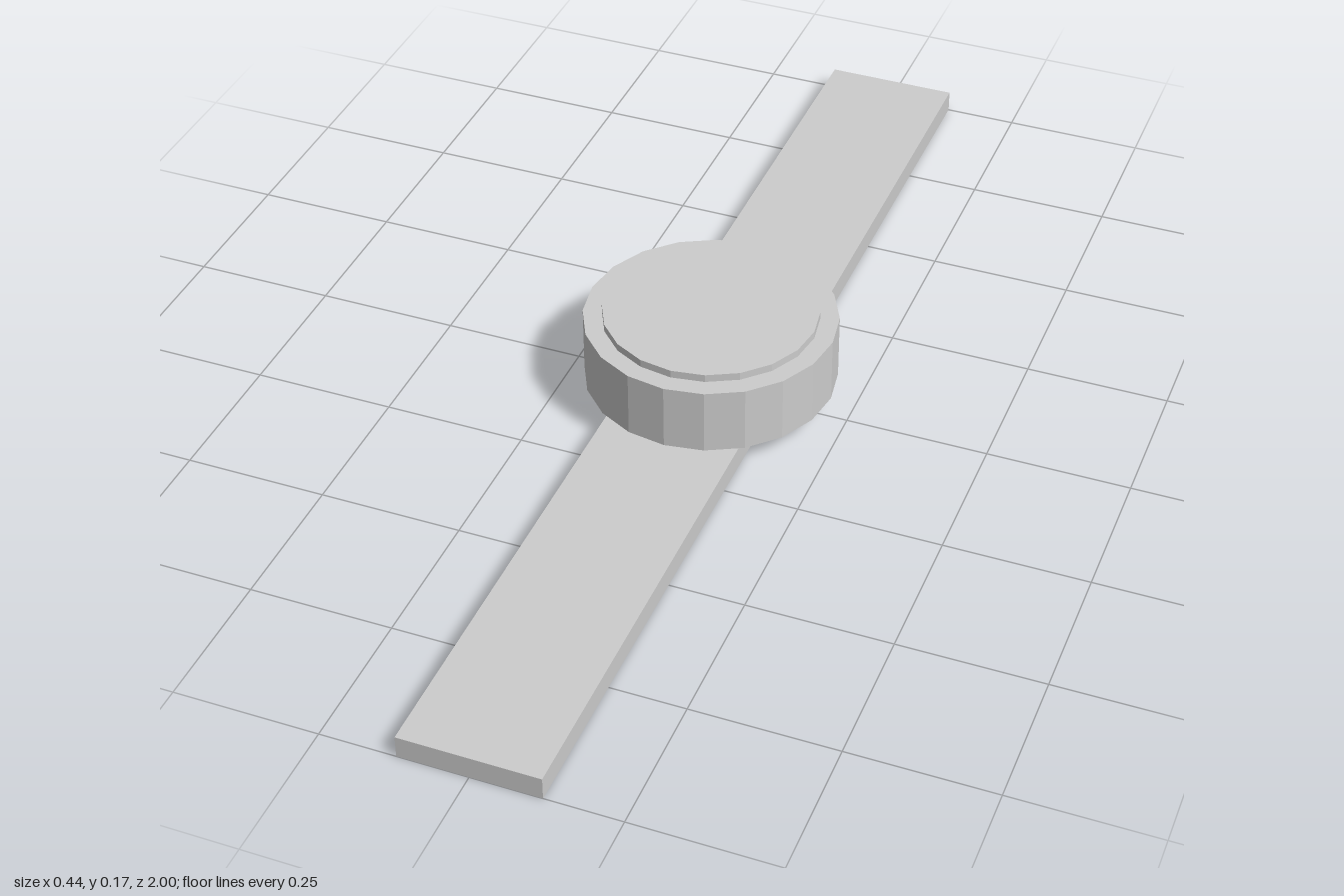
import * as THREE from 'three';

export function createModel() {
  const group = new THREE.Group();
  const grey = new THREE.MeshStandardMaterial({ color: 0xcccccc, flatShading: true });
  grey.name = 'light grey';

  // Adds a named part whose underside rests at the given height
  const add = (name, geometry, bottom, height) => {
    const mesh = new THREE.Mesh(geometry, grey);
    mesh.name = name;
    mesh.position.y = bottom + height / 2;
    group.add(mesh);
  };
  const disc = (radius, height) => new THREE.CylinderGeometry(radius, radius, height, 20);

  // Flat strap running front to back
  add('strap', new THREE.BoxGeometry(0.24, 0.04, 2), 0, 0.04);
  // Round case on the strap, with a thin raised face
  add('case', disc(0.22, 0.12), 0.04, 0.12);
  add('face', disc(0.187, 0.014), 0.16, 0.014);

  return group;
}
